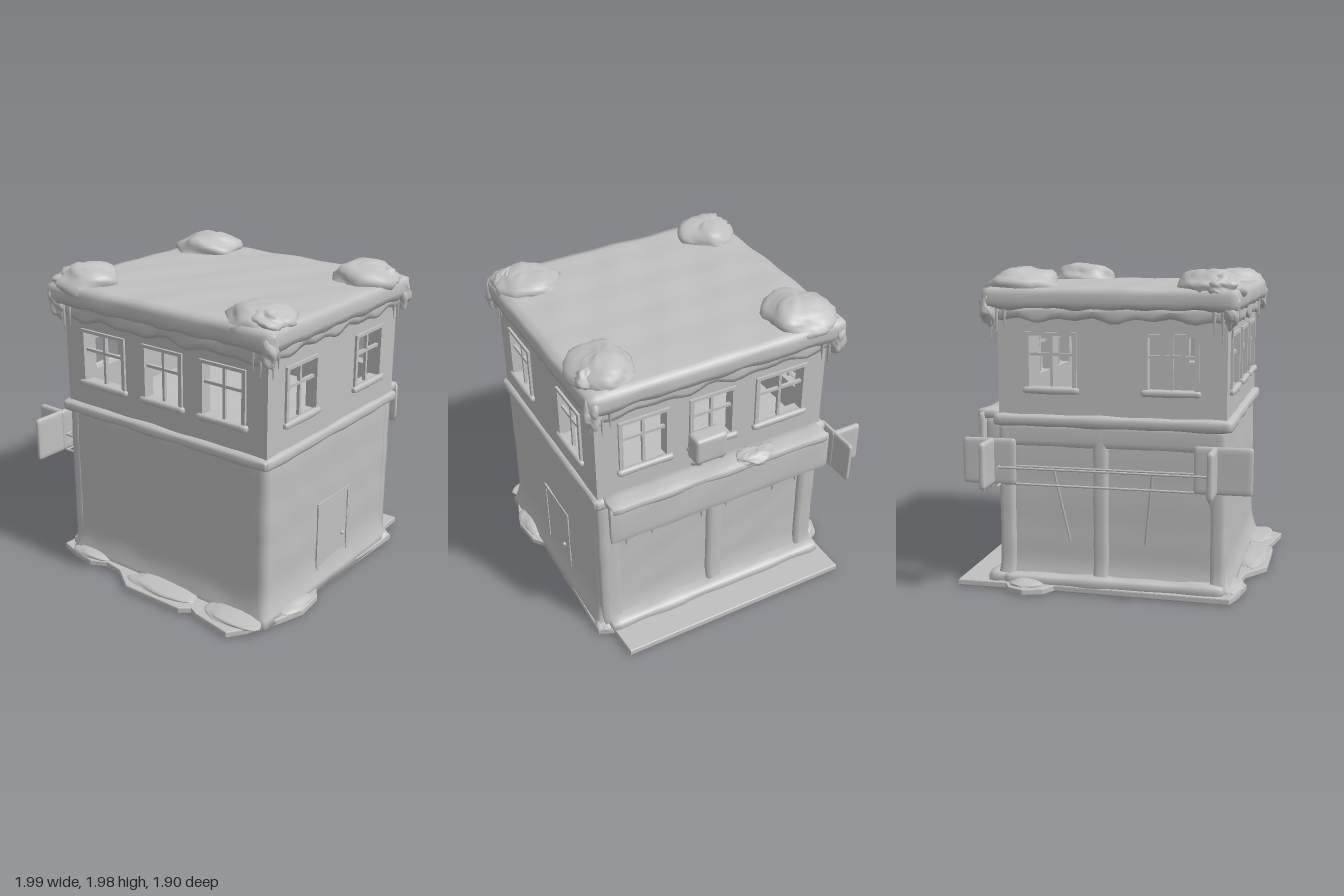
import * as THREE from 'three';
import { mergeVertices } from 'three/addons/utils/BufferGeometryUtils.js';

const grey = new THREE.MeshStandardMaterial({ color: 0xc0c0c0, side: THREE.DoubleSide });
grey.name = 'paleGrey';

// Smooth pseudo-noise in -1..1
const noise = (x, y, z) =>
  (Math.sin(x * 17 + z * 9 + 1) + Math.sin(y * 23 + x * 11 + 2) + Math.sin(z * 19 - y * 13 + 4)) / 3;

function add(parent, name, geometry) {
  const mesh = new THREE.Mesh(geometry, grey);
  mesh.name = name;
  parent.add(mesh);
  return mesh;
}

function smooth(geometry) {
  geometry.deleteAttribute('uv');
  geometry.deleteAttribute('normal');
  const merged = mergeVertices(geometry, 1e-4);
  merged.computeVertexNormals();
  return merged;
}

// Box between two corners with rounded edges and a snowy, uneven surface
function lumpyBox(parent, name, min, max, round = 0.02, lump = 0.006, rule = null, step = 0.05) {
  const lo = new THREE.Vector3(...min), hi = new THREE.Vector3(...max);
  const size = hi.clone().sub(lo), mid = hi.clone().add(lo).multiplyScalar(0.5);
  const n = size.toArray().map(s => Math.min(28, Math.max(3, Math.ceil(s / step))));
  const geo = new THREE.BoxGeometry(size.x, size.y, size.z, ...n).translate(mid.x, mid.y, mid.z);
  const p = geo.attributes.position, v = new THREE.Vector3(), inner = new THREE.Vector3();
  const a = lo.clone().addScalar(round), b = hi.clone().subScalar(round);
  for (let i = 0; i < p.count; i++) {
    v.fromBufferAttribute(p, i);
    inner.copy(v).clamp(a, b);
    const dir = v.clone().sub(inner).normalize();
    v.copy(inner).addScaledVector(dir, round + lump * noise(v.x, v.y, v.z));
    if (rule) rule(v);
    p.setXYZ(i, v.x, v.y, v.z);
  }
  return add(parent, name, smooth(geo));
}

// Rough heap of snow
function mound(parent, name, [x, y, z], [rx, ry, rz], rough = 0.1) {
  const geo = new THREE.SphereGeometry(1, 28, 18);
  const p = geo.attributes.position;
  for (let i = 0; i < p.count; i++) {
    const X = p.getX(i), Y = p.getY(i), Z = p.getZ(i);
    const k = 1 + rough * (noise(X * 0.3 + x, Y * 0.3, Z * 0.3 + z) + 0.4 * noise(X + z, Y, Z + x));
    p.setXYZ(i, x + X * rx * k, y + Y * ry * k, z + Z * rz * k);
  }
  return add(parent, name, smooth(geo));
}

function bar(parent, name, from, to, r = 0.008) {
  const path = new THREE.LineCurve3(new THREE.Vector3(...from), new THREE.Vector3(...to));
  return add(parent, name, new THREE.TubeGeometry(path, 1, r, 6));
}

function icicle(parent, x, y, z, len, r = 0.014) {
  add(parent, 'icicle', new THREE.ConeGeometry(r, len, 6).rotateX(Math.PI).translate(x, y - len / 2, z));
}

const trace = (path, x0, x1, y0, y1) =>
  path.moveTo(x0, y0).lineTo(x1, y0).lineTo(x1, y1).lineTo(x0, y1).closePath();

function plate(x0, x1, y0, y1, holes, depth) {
  const shape = trace(new THREE.Shape(), x0, x1, y0, y1);
  for (const h of holes) shape.holes.push(trace(new THREE.Path(), ...h));
  return new THREE.ExtrudeGeometry(shape, { depth, bevelEnabled: false });
}

// Upper storey wall with framed windows; local +z faces outwards
function facade(parent, name, u0, u1, windows, angle, x, z) {
  const wall = new THREE.Group();
  wall.name = name;
  const holes = windows.map(([a, b]) => [a, b, 1.265, 1.58]);
  add(wall, 'upperWall', plate(u0, u1, 1.04, 1.8, holes, 0.06).translate(0, 0, -0.06));
  for (const [a, b, y0, y1] of holes) {
    const m = (a + b) / 2;
    add(wall, 'windowFrame', plate(a - 0.025, b + 0.025, y0 - 0.02, y1 + 0.02, [[a, b, y0, y1]], 0.035).translate(0, 0, -0.02));
    add(wall, 'mullion', new THREE.BoxGeometry(0.018, y1 - y0, 0.02).translate(m, (y0 + y1) / 2, -0.015));
    add(wall, 'transom', new THREE.BoxGeometry(b - a, 0.018, 0.02).translate(m, 1.465, -0.015));
    lumpyBox(wall, 'snowySill', [a - 0.04, y0 - 0.035, -0.01], [b + 0.04, y0 + 0.005, 0.03], 0.015, 0.004, null, 0.02);
  }
  wall.rotation.y = angle;
  wall.position.set(x, 0, z);
  parent.add(wall);
}

export function createModel() {
  const g = new THREE.Group();
  g.name = 'snowyCornerBuilding';

  // Irregular ground slab (x, z outline)
  const outline = [[-.73, -.95], [.83, -.95], [.84, -.74], [.93, -.7], [.91, .2], [.97, .28], [.99, .47], [.93, .65],
    [.84, .85], [.77, .95], [.5, .9], [.44, .87], [.38, .92], [-.05, .92], [-.22, .8], [-.35, .78], [-.45, .83],
    [-.62, .8], [-.75, .76], [-.72, -.33], [-.8, -.38], [-.84, -.5], [-.8, -.6], [-.73, -.64]];
  const slab = new THREE.Shape(outline.map(([x, z]) => new THREE.Vector2(x, -z)));
  add(g, 'groundSlab', new THREE.ExtrudeGeometry(slab, {
    depth: 0.025, bevelThickness: 0.008, bevelSize: 0.006, bevelOffset: -0.006, bevelSegments: 2,
  }).rotateX(-Math.PI / 2).translate(0, 0.01, 0));

  // Ground storey, flaring into snow drifts at the foot
  const flare = v => {
    const k = 0.06 * Math.max(0, 1 - v.y / 0.22) ** 2;
    v.x += (v.x > 0.1 ? k : -k);
    v.z += (v.z > 0 ? k : -k);
  };
  lumpyBox(g, 'groundStorey', [-.64, .015, -.65], [.88, 1.06, .72], 0.015, 0.004, flare);

  // Pillars and lintels framing the bays of the back and left walls
  const foot = v => {
    const k = 0.04 * Math.max(0, 1 - v.y / 0.2) ** 2;
    if (v.z < -0.66) v.z -= k;
    if (v.x < -0.65) v.x -= k;
  };
  for (const [a, b] of [[-.67, -.56], [.03, .13], [.75, .88]])
    lumpyBox(g, 'backPillar', [a, .015, -.685], [b, 1.05, -.6], 0.015, 0.003, foot);
  for (const [a, b] of [[-.685, -.59], [-.09, .0], [.63, .72]])
    lumpyBox(g, 'leftPillar', [-.675, .015, a], [-.6, 1.05, b], 0.015, 0.003, foot);
  lumpyBox(g, 'backLintel', [-.67, .82, -.685], [.88, 1.05, -.6], 0.015, 0.004);
  lumpyBox(g, 'leftLintel', [-.675, .9, -.68], [-.6, 1.05, .72], 0.015, 0.004);
  lumpyBox(g, 'backDrift', [-.7, .02, -.76], [.85, .1, -.6], 0.035, 0.012);
  lumpyBox(g, 'leftDrift', [-.72, .02, -.66], [-.58, .1, .72], 0.035, 0.01);

  // Side door with raised surround and knob
  add(g, 'doorSurround', plate(-.17, .2, .02, .6, [[-.145, .175, .02, .575]], 0.012)
    .rotateY(Math.PI / 2).translate(.876, 0, 0));
  add(g, 'door', new THREE.BoxGeometry(0.008, 0.54, 0.31).translate(.88, .3, -.015));
  add(g, 'doorKnob', new THREE.SphereGeometry(0.014, 10, 8).translate(.89, .29, -.12));

  // Upper storey walls
  const wide = [[-.51, -.2], [-.01, .25], [.43, .71]];
  const side = [[-.53, -.25], [.21, .48]];
  const flip = list => list.map(([a, b]) => [-b, -a]);
  facade(g, 'frontWall', -.67, .88, wide, 0, 0, .72);
  facade(g, 'backWall', -.88, .67, flip(wide), Math.PI, 0, -.68);
  facade(g, 'rightWall', -.72, .68, side, Math.PI / 2, .88, 0);
  facade(g, 'leftWall', -.68, .72, flip(side), -Math.PI / 2, -.67, 0);

  // Snow-covered belt course: four strips around the walls
  const belt = (a, b) => lumpyBox(g, 'beltCourse', a, b, 0.025, 0.007);
  belt([-.705, 1.025, .66], [.91, 1.1, .76]);
  belt([-.705, 1.025, -.71], [.91, 1.1, -.62]);
  belt([.83, 1.025, -.71], [.91, 1.1, .76]);
  belt([-.705, 1.025, -.71], [-.62, 1.1, .76]);

  // Roof slab with a wavy lower edge and thin melting fringe
  lumpyBox(g, 'roofSlab', [-.76, 1.735, -.76], [.935, 1.87, .79], 0.03, 0.008, v => {
    if (v.y < 1.77) v.y += 0.014 * noise(v.x * 1.6, 0, v.z * 1.6);
  });
  lumpyBox(g, 'roofFringe', [-.69, 1.66, -.7], [.9, 1.76, .74], 0.02, 0.008, v => {
    if (v.y < 1.7) v.y += 0.035 * noise(v.x * 1.4, 1, v.z * 1.4);
  });

  // Snow heaps on the roof corners
  const heaps = [[-.53, -.54, .22, .125, .22], [.74, -.5, .19, .125, .22], [-.57, .6, .19, .12, .2], [.73, .58, .2, .1, .2]];
  for (const [x, z, rx, ry, rz] of heaps) {
    mound(g, 'roofSnowHeap', [x, 1.855, z], [rx, ry, rz], 0.14);
    mound(g, 'roofSnowCrest', [x + Math.sign(x) * .09, 1.87, z + Math.sign(z) * .07], [.1, .075, .1], 0.25);
    // Clump and icicles hanging from the same corner
    const cx = x > 0 ? .895 : -.71, cz = z > 0 ? .745 : -.72;
    mound(g, 'cornerClump', [cx, 1.75, cz], [.05, .1, .05], 0.3);
    for (let i = 0; i < 6; i++) {
      const s = (i % 3) * 0.05, len = 0.09 + 0.05 * ((i * 2) % 3);
      const onX = i < 3;
      icicle(g, cx - (onX ? Math.sign(x) * s : 0), 1.74, cz - (onX ? 0 : Math.sign(z) * s), len);
    }
  }

  // Fascia board on the back, with snow on top
  lumpyBox(g, 'fasciaBoard', [-.66, .84, -.815], [.86, 1.1, -.78], 0.012, 0.004);
  lumpyBox(g, 'fasciaBox', [-.62, .88, -.79], [.82, 1.07, -.67], 0.015, 0.004);
  lumpyBox(g, 'fasciaSnow', [-.64, 1.06, -.83], [.85, 1.115, -.68], 0.02, 0.012);
  mound(g, 'fasciaSnowHeap', [-.13, 1.11, -.78], [.13, .045, .075], 0.25);
  for (let i = 0; i < 9; i++) icicle(g, -.6 + i * .17, .85, -.797, .03 + .02 * (i % 3), .012);

  // Air conditioner below the middle back window
  lumpyBox(g, 'airConditioner', [.08, 1.2, -.8], [.29, 1.375, -.68], 0.018, 0.003, null, 0.02);
  for (const x of [.11, .26]) bar(g, 'airConditionerBracket', [x, 1.13, -.69], [x, 1.2, -.79]);

  // Projecting panels at both ends of the left wall
  for (const [z, z0, z1] of [[.67, .55, .895], [-.68, -.86, -.53]]) {
    lumpyBox(g, 'flatPanel', [-.825, .69, z0], [-.795, .97, z1], 0.013, 0.001, null, 0.02);
    lumpyBox(g, 'outwardPanel', [-1, .69, z - .02], [-.79, .97, z + .02], 0.016, 0.002, null, 0.02);
    for (let i = 0; i < 4; i++) icicle(g, -.97 + i * .045, .7, z, .05 - .012 * (i % 2), .016);
    // Wall bracket and strut
    const b = z > 0 ? z - .01 : z + .05;
    bar(g, 'bracketTop', [-.85, .8, b], [-.64, .8, b]);
    bar(g, 'bracketBottom', [-.85, .69, b], [-.64, .69, b]);
    bar(g, 'bracketPost', [-.71, .69, b], [-.71, .8, b]);
    bar(g, 'strut', [-.78, .8, z * .45], [-.66, .32, z * .35]);
  }
  // Rails running between the panels
  for (const [x, y] of [[-.85, .8], [-.79, .8], [-.79, .69]]) bar(g, 'rail', [x, y, -.63], [x, y, .66], .007);

  // Snow drifts around the foot of the walls
  const drifts = [[.9, .45, .08, .05, .16], [.7, .78, .2, .05, .12], [.15, .8, .26, .04, .1],
    [-.72, -.5, .1, .05, .11], [-.5, .74, .16, .05, .08], [.86, -.66, .07, .08, .07]];
  for (const [x, z, rx, ry, rz] of drifts) mound(g, 'groundDrift', [x, .04, z], [rx, Math.min(ry, .035), rz], 0.12);

  return g;
}
